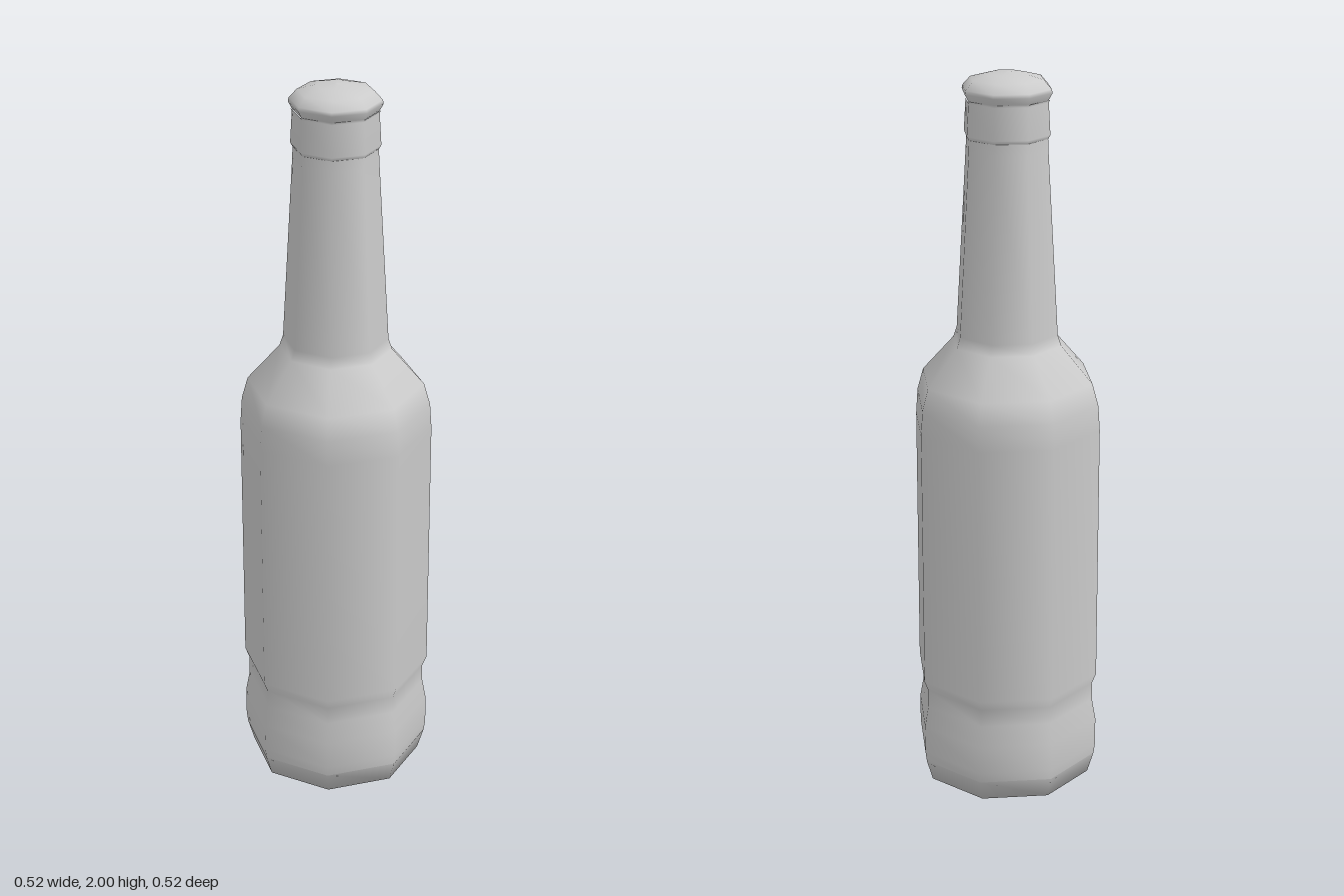
import * as THREE from 'three';

const SIDES = 8;

// Eight-sided turned part with smooth normals; profile runs bottom to top as [radius, y]
function turned(name, profile, material) {
  const points = profile.map(([r, y]) => new THREE.Vector2(r, y));
  const mesh = new THREE.Mesh(new THREE.LatheGeometry(points, SIDES), material);
  mesh.name = name;
  return mesh;
}

export function createModel() {
  const glass = new THREE.MeshStandardMaterial({ color: 0xcccccc });
  const bottle = new THREE.Group();
  bottle.name = 'bottle';

  // Flat underside and chamfered foot
  bottle.add(turned('base', [[0, 0], [0.24, 0], [0.258, 0.06]], glass));

  // Heel ring, waist groove, straight body, shoulder and tapering neck
  bottle.add(turned('body', [
    [0.258, 0.06], [0.262, 0.09], [0.262, 0.17], [0.251, 0.23], [0.25, 0.28],
    [0.262, 0.31], [0.262, 1.04], [0.257, 1.11], [0.24, 1.17],
    [0.152, 1.27], [0.142, 1.3], [0.113, 1.8], [0.112, 1.83],
  ], glass));

  // Collar below the mouth
  bottle.add(turned('collar', [[0.112, 1.83], [0.118, 1.84], [0.113, 1.925], [0.116, 1.932]], glass));

  // Domed cap with a flared rim
  bottle.add(turned('cap', [[0.112, 1.93], [0.123, 1.95], [0.121, 1.96], [0.1, 1.983], [0.05, 1.996], [0, 2]], glass));

  return bottle;
}
